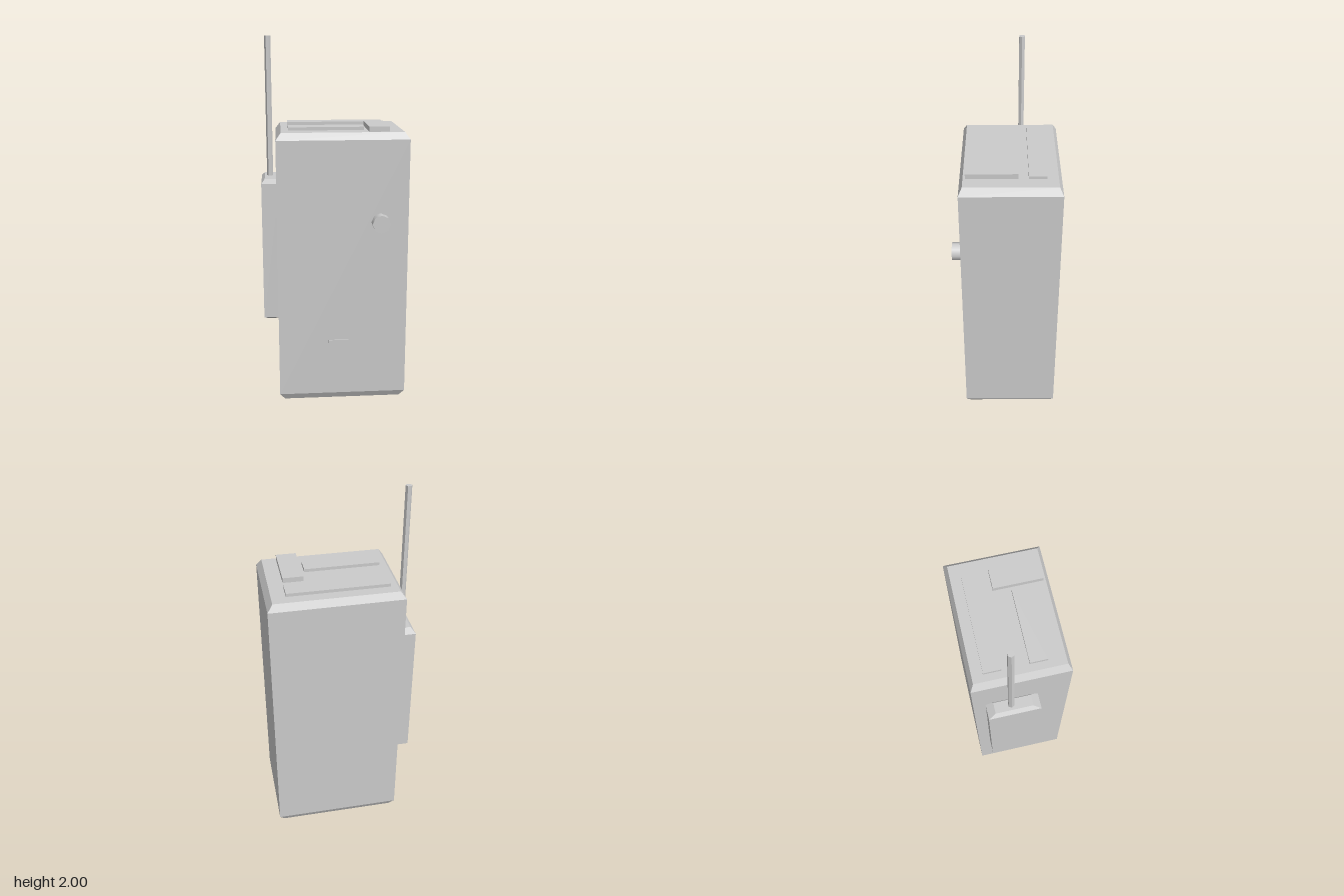
import * as THREE from 'three';

const material = new THREE.MeshStandardMaterial({ color: 0xcccccc, flatShading: true });
const smooth = new THREE.MeshStandardMaterial({ color: 0xcccccc });

// Box given by its extents on each axis
function box(name, [x0, x1], [y0, y1], [z0, z1]) {
  const g = new THREE.BoxGeometry(x1 - x0, y1 - y0, z1 - z0);
  g.translate((x0 + x1) / 2, (y0 + y1) / 2, (z0 + z1) / 2);
  const mesh = new THREE.Mesh(g, material);
  mesh.name = name;
  return mesh;
}

// Box whose top and bottom rims are bevelled: ix, iz are the insets, h the bevel height
function bevelledBox(name, xs, [y0, y1], zs, ix, iz, h) {
  const w = xs[1] - xs[0], d = zs[1] - zs[0];
  const g = new THREE.BoxGeometry(w, y1 - y0, d, 1, 3, 1);
  const p = g.attributes.position;
  const rows = [y0, y0 + h, y1 - h, y1];
  for (let i = 0; i < p.count; i++) {
    const row = Math.round((p.getY(i) / (y1 - y0) + 0.5) * 3);
    const rim = row === 0 || row === 3 ? 1 : 0;
    p.setXYZ(i,
      (xs[0] + xs[1]) / 2 + Math.sign(p.getX(i)) * (w / 2 - rim * ix),
      rows[row],
      (zs[0] + zs[1]) / 2 + Math.sign(p.getZ(i)) * (d / 2 - rim * iz));
  }
  g.computeVertexNormals();
  const mesh = new THREE.Mesh(g, material);
  mesh.name = name;
  return mesh;
}

export function createModel() {
  const group = new THREE.Group();
  group.name = 'cabinetWithAntenna';

  // Main cabinet and the module on its side
  group.add(bevelledBox('cabinet', [-0.313, 0.393], [0, 1.513], [-0.286, 0.23], 0.028, 0.02, 0.038));
  group.add(bevelledBox('sideModule', [-0.395, -0.298], [0.415, 1.235], [-0.22, 0.06], 0.019, 0.04, 0.021));

  // Raised strips and block on the lid
  group.add(box('backStrip', [-0.247, 0.29], [1.5, 1.53], [-0.208, -0.117]));
  group.add(box('frontStrip', [-0.245, 0.16], [1.5, 1.53], [0.026, 0.118]));
  group.add(box('lidBlock', [0.179, 0.287], [1.5, 1.54], [-0.066, 0.198]));

  // Thin plate low on the front
  group.add(box('frontPlate', [-0.038, 0.073], [0.115, 0.36], [0.22, 0.236]));

  // Knob on the front
  const knob = new THREE.Mesh(new THREE.CylinderGeometry(0.049, 0.049, 0.073, 8), smooth);
  knob.name = 'knob';
  knob.rotation.x = Math.PI / 2;
  knob.position.set(0.241, 1.032, 0.2465);
  group.add(knob);

  // Six-sided antenna rising from the side module
  const antenna = new THREE.Mesh(new THREE.CylinderGeometry(0.017, 0.017, 0.78, 6), material);
  antenna.name = 'antenna';
  antenna.rotation.y = Math.PI / 6;
  antenna.position.set(-0.347, 1.61, -0.091);
  group.add(antenna);

  return group;
}
